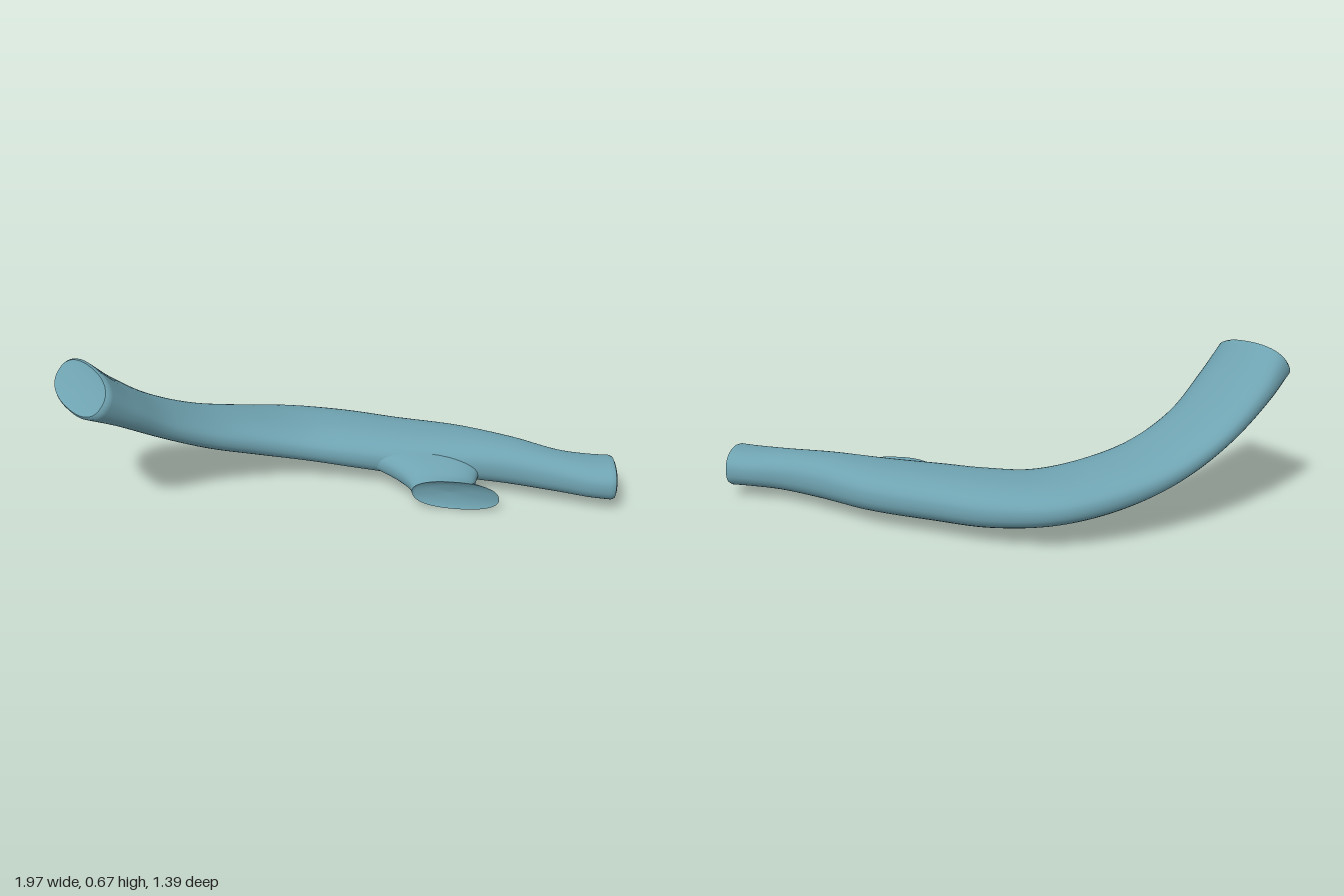
import * as THREE from 'three';

const V = (x, y, z) => new THREE.Vector3(x, y, z);

// Each station: one edge point, the opposite edge point, half thickness
const shaftStations = [
  [[-0.925, 0.605, -0.64], [-0.885, 0.565, -0.29], 0.098],
  [[-0.80, 0.51, -0.68], [-0.77, 0.48, -0.31], 0.076],
  [[-0.60, 0.37, -0.70], [-0.60, 0.36, -0.34], 0.063],
  [[-0.38, 0.26, -0.69], [-0.40, 0.26, -0.335], 0.067],
  [[-0.15, 0.195, -0.655], [-0.20, 0.195, -0.29], 0.076],
  [[0.08, 0.16, -0.585], [-0.02, 0.15, -0.20], 0.080],
  [[0.28, 0.14, -0.43], [0.12, 0.135, -0.08], 0.088],
  [[0.44, 0.135, -0.24], [0.24, 0.13, 0.04], 0.090],
  [[0.62, 0.135, -0.02], [0.40, 0.13, 0.18], 0.090],
  [[0.74, 0.135, 0.20], [0.55, 0.13, 0.32], 0.088],
  [[0.84, 0.12, 0.365], [0.70, 0.125, 0.50], 0.078],
  [[0.93, 0.12, 0.45], [0.80, 0.115, 0.63], 0.075],
  [[0.99, 0.12, 0.505], [0.855, 0.115, 0.685], 0.077],
];
const branchStations = [
  [[0.58, 0.125, 0.20], [0.16, 0.125, -0.10], 0.070],
  [[0.50, 0.105, 0.26], [0.205, 0.11, 0.06], 0.062],
  [[0.45, 0.08, 0.31], [0.22, 0.09, 0.15], 0.056],
  [[0.49, 0.065, 0.41], [0.21, 0.075, 0.19], 0.066],
];

// Rounded, slightly squared cross-sections swept between the two edge curves
function makeRings(stations, steps, sides, lean = 0) {
  const edgeA = new THREE.CatmullRomCurve3(stations.map(s => V(...s[0])));
  const edgeB = new THREE.CatmullRomCurve3(stations.map(s => V(...s[1])));
  const thick = new THREE.CatmullRomCurve3(stations.map((s, i) => V(i * 0.1, s[2], 0)));
  const middle = t => edgeA.getPoint(t).add(edgeB.getPoint(t)).multiplyScalar(0.5);
  const soft = v => Math.sign(v) * Math.abs(v) ** 0.85;
  const rings = [];
  for (let i = 0; i <= steps; i++) {
    const t = i / steps;
    const centre = middle(t);
    const half = edgeA.getPoint(t).sub(centre);
    const along = middle(Math.min(1, t + 0.01)).sub(middle(Math.max(0, t - 0.01))).normalize();
    const up = along.clone().cross(half).normalize();
    up.addScaledVector(along, lean * Math.sign(-up.y)).multiplyScalar(thick.getPoint(t).y);
    const points = [];
    for (let j = 0; j < sides; j++) {
      const a = j / sides * Math.PI * 2;
      points.push(centre.clone().addScaledVector(half, soft(Math.cos(a))).addScaledVector(up, soft(Math.sin(a))));
    }
    rings.push({ centre, along, points });
  }
  return rings;
}

// Copy of a ring, shrunk and pushed along its axis
function insetRing(ring, scale, push) {
  const centre = ring.centre.clone().addScaledVector(ring.along, push);
  const points = ring.points.map(p => p.clone().sub(ring.centre).multiplyScalar(scale).add(centre));
  return { centre, along: ring.along, points };
}

function skin(rings) {
  const sides = rings[0].points.length, index = [];
  for (let i = 0; i < rings.length - 1; i++) {
    for (let j = 0; j < sides; j++) {
      const k = (j + 1) % sides, r = i * sides, n = r + sides;
      index.push(r + j, r + k, n + j, r + k, n + k, n + j);
    }
  }
  const geometry = new THREE.BufferGeometry().setFromPoints(rings.flatMap(r => r.points));
  geometry.setIndex(index);
  geometry.computeVertexNormals();
  return geometry;
}

// End face that rises or sinks towards its middle
function endFace(ring, push, atStart) {
  const loops = [[1, 0], [0.85, 0.45], [0.5, 0.85], [0.001, 1]].map(([s, p]) => insetRing(ring, s, p * push));
  return skin(atStart ? loops.reverse() : loops);
}

export function createModel() {
  const group = new THREE.Group();
  const bone = new THREE.MeshStandardMaterial({ color: 0x6fa3b1 });
  bone.name = 'dusty teal';
  const add = (name, geometry) => {
    const mesh = new THREE.Mesh(geometry, bone);
    mesh.name = name;
    group.add(mesh);
  };

  // Curved main shaft with small rounded rims at both ends
  const shaft = makeRings(shaftStations, 96, 40);
  shaft.unshift(insetRing(shaft[0], 0.93, -0.012));
  shaft.push(insetRing(shaft[shaft.length - 1], 0.93, 0.014));
  add('shaft', skin(shaft));
  add('raisedEndFace', endFace(shaft[0], 0.008, true));
  add('lowEndFace', endFace(shaft[shaft.length - 1], 0.012, false));

  // Short side branch with a hollowed end
  const branch = makeRings(branchStations, 28, 40, 0.3);
  add('sideBranch', skin(branch));
  add('branchEndFace', endFace(branch[branch.length - 1], -0.03, false));
  return group;
}
